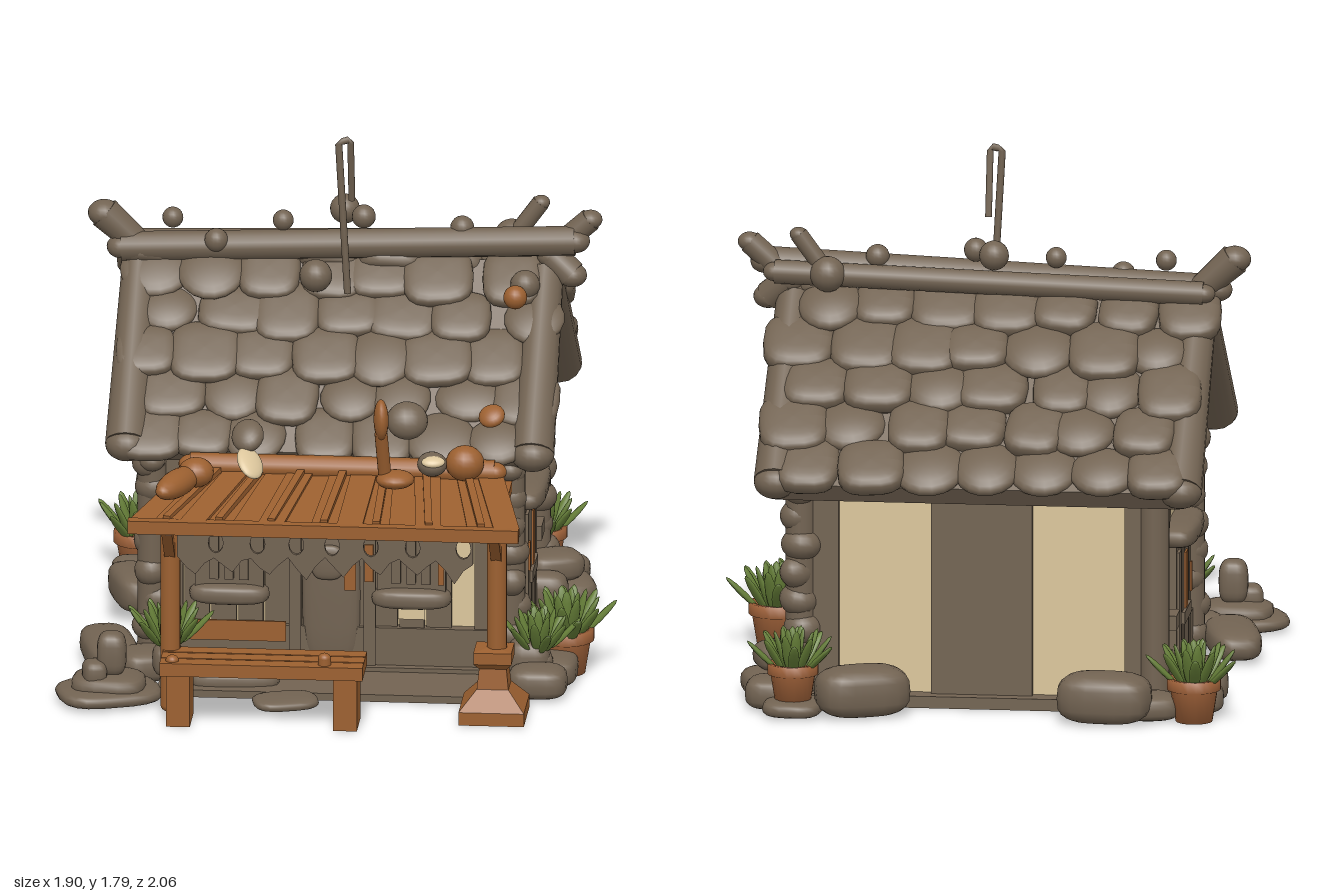
import * as THREE from 'three';

const mat = (name, color) => {
  const m = new THREE.MeshStandardMaterial({ color });
  m.name = name;
  return m;
};

let seed = 7;
const rnd = (a = 0, b = 1) => {
  seed = (seed * 16807) % 2147483647;
  return a + (b - a) * (seed / 2147483647);
};

const V = (a) => new THREE.Vector3(...a);

export function createModel() {
  const stone = mat('weathered stone', 0x726352);
  const wood = mat('orange wood', 0x9c6030);
  const clay = mat('clay', 0xa2633a);
  const plaster = mat('cream plaster', 0xdcc69c);
  const green = mat('leaf green', 0x667f38);

  const root = new THREE.Group();
  const house = new THREE.Group();
  house.name = 'house';
  house.position.set(0.07, 0, -0.19);
  house.rotation.y = -0.182;
  root.add(house);

  const add = (p, name, geo, m, pos = [0, 0, 0], rot = [0, 0, 0]) => {
    const o = new THREE.Mesh(geo, m);
    o.name = name;
    o.position.set(...pos);
    o.rotation.set(...rot);
    p.add(o);
    return o;
  };
  const box = (p, name, m, size, pos, rot) => add(p, name, new THREE.BoxGeometry(...size), m, pos, rot);

  // Rounded boulder: a sphere pushed towards a box
  const pebble = new THREE.SphereGeometry(1, 18, 12);
  const pa = pebble.attributes.position;
  const sq = (v) => Math.sign(v) * Math.pow(Math.abs(v), 0.65);
  for (let i = 0; i < pa.count; i++) pa.setXYZ(i, sq(pa.getX(i)), sq(pa.getY(i)), sq(pa.getZ(i)));
  pebble.computeVertexNormals();
  const ball = new THREE.SphereGeometry(1, 18, 12);
  const blob = (p, name, m, size, pos, rot, geo = pebble) => {
    const o = add(p, name, geo, m, pos, rot);
    o.scale.set(size[0] / 2, size[1] / 2, size[2] / 2);
    return o;
  };

  // Round log and squared beam between two points
  const log = (p, name, m, a, b, r0, r1 = r0) => {
    const d = V(b).sub(V(a));
    const o = add(p, name, new THREE.CylinderGeometry(r1, r0, d.length(), 14), m);
    o.position.copy(V(a)).addScaledVector(d, 0.5);
    o.quaternion.setFromUnitVectors(new THREE.Vector3(0, 1, 0), d.normalize());
    blob(p, name + 'End', m, [r0 * 2, r0 * 1.6, r0 * 2], a, [0, 0, 0], ball);
    blob(p, name + 'Tip', m, [r1 * 2, r1 * 1.6, r1 * 2], b, [0, 0, 0], ball);
    return o;
  };
  const beam = (p, name, m, a, b, w, h) => {
    const d = V(b).sub(V(a));
    const o = box(p, name, m, [w, h, d.length()], [0, 0, 0]);
    o.position.copy(V(a)).addScaledVector(d, 0.5);
    o.quaternion.setFromRotationMatrix(new THREE.Matrix4().lookAt(V(b), V(a), new THREE.Vector3(0, 1, 0)));
    return o;
  };

  // Extrude a (z, y) profile along local x, centred
  const prism = (p, name, m, pts, len) => {
    const g = new THREE.ExtrudeGeometry(new THREE.Shape(pts.map(([z, y]) => new THREE.Vector2(-z, y))), { depth: len, bevelEnabled: false });
    g.translate(0, 0, -len / 2).rotateY(Math.PI / 2);
    return add(p, name, g, m);
  };

  // Floor and plastered walls
  box(house, 'floor', stone, [1.3, 0.04, 1.0], [0, 0.02, 0]);
  box(house, 'porchFloor', stone, [1.12, 0.025, 0.3], [0, 0.013, 0.6]);
  prism(house, 'walls', plaster, [[0.43, 0], [0.43, 0.8], [0, 1.22], [-0.43, 0.8], [-0.43, 0]], 1.18);

  // Front planks, door and windows
  for (let i = 0; i < 11; i++)
    box(house, 'frontPlank', stone, [0.083, 0.74, 0.03], [-0.54 + i * 0.09, 0.4, 0.435 + (i % 2) * 0.008]);
  box(house, 'frontTopBoard', stone, [1.18, 0.2, 0.04], [0, 0.7, 0.445]);
  box(house, 'frontSidePost', stone, [0.1, 0.74, 0.04], [0.53, 0.4, 0.44]);
  box(house, 'frontSkirt', stone, [1.18, 0.17, 0.05], [0, 0.085, 0.445]);
  for (const x of [-0.12, 0.13]) box(house, 'doorJamb', stone, [0.04, 0.58, 0.06], [x, 0.29, 0.45]);
  blob(house, 'frontDoor', stone, [0.2, 0.54, 0.08], [0, 0.28, 0.445]);
  blob(house, 'doorHatch', stone, [0.11, 0.12, 0.04], [-0.01, 0.4, 0.485]);
  box(house, 'frontDoorPanel', wood, [0.04, 0.17, 0.008], [0.065, 0.39, 0.486]);
  box(house, 'doorSidePanel', wood, [0.03, 0.13, 0.008], [0.128, 0.4, 0.483]);
  box(house, 'wallPatch', wood, [0.36, 0.07, 0.008], [-0.33, 0.15, 0.474]);
  box(house, 'plasterPatch', plaster, [0.09, 0.055, 0.008], [0.27, 0.23, 0.467]);
  for (const x of [-0.43, -0.29, 0.41]) box(house, 'upperPlasterPatch', plaster, [0.08, 0.12, 0.008], [x, 0.64, 0.469]);
  for (const x of [-0.34, 0.27]) {
    box(house, 'windowShutter', stone, [0.23, 0.24, 0.06], [x, 0.41, 0.45]);
    for (const y of [0.28, 0.52]) blob(house, 'windowSill', stone, [0.27, 0.07, 0.11], [x, y, 0.47]);
    for (let k = -1; k < 2; k++) box(house, 'windowBar', stone, [0.03, 0.15, 0.02], [x + k * 0.05, 0.41, 0.49]);
  }
  box(house, 'shutterTrim', wood, [0.02, 0.16, 0.008], [0.37, 0.41, 0.484]);

  // Both gable ends
  for (const s of [-1, 1]) {
    const x = s * 0.6;
    box(house, 'gableDoor', stone, [0.05, 0.5, 0.36], [x, 0.27, -0.01]);
    for (let k = 0; k < 5; k++) box(house, 'gableDoorPlank', stone, [0.02, 0.46, 0.06], [x + s * 0.025, 0.25, -0.15 + k * 0.07]);
    box(house, 'gableDoorPanel', wood, [0.008, 0.2, 0.06], [x + s * 0.037, 0.35, -0.01]);
    box(house, 'gableDoorTrim', wood, [0.008, 0.1, 0.02], [x + s * 0.037, 0.33, 0.14]);
    box(house, 'gableDoorPatch', wood, [0.008, 0.03, 0.08], [x + s * 0.037, 0.05, -0.1]);
    box(house, 'gableDoorStep', stone, [0.03, 0.04, 0.2], [x + s * 0.03, 0.24, -0.01]);
    blob(house, 'doorLintel', stone, [0.14, 0.085, 0.42], [x + s * 0.02, 0.53, -0.01]);
    log(house, 'tieBeam', stone, [x, 0.74, -0.46], [x, 0.74, 0.48], 0.045);
    box(house, 'kingPost', wood, [0.05, 0.3, 0.07], [x, 0.93, -0.01]);
    box(house, 'kingPostTrim', stone, [0.06, 0.42, 0.035], [x, 0.96, 0.045]);
    blob(house, 'gablePeak', stone, [0.06, 0.12, 0.18], [x, 1.15, 0]);
    for (const t of [-1, 1]) {
      box(house, 'gableRail', stone, [0.05, 0.045, 0.1], [x, 0.89, t * 0.13]);
      beam(house, 'gableBrace', stone, [x, 0.76, t * 0.33], [x, 1.16, t * 0.04], 0.06, 0.05);
      beam(house, 'wallBrace', stone, [x, 0.58, t * 0.4], [x, 0.72, t * 0.28], 0.04, 0.05);
      box(house, 'gableFooting', stone, [0.03, 0.16, 0.2], [x, 0.08, t * 0.32]);
    }
    box(house, 'wallPlaque', stone, [0.05, 0.05, 0.11], [x + s * 0.02, 0.28, -0.31]);
  }

  // Back wall boards
  box(house, 'backPlank', stone, [0.34, 0.78, 0.03], [0, 0.4, -0.44]);
  box(house, 'backTopBeam', stone, [1.18, 0.1, 0.05], [0, 0.76, -0.44]);
  for (const x of [-0.53, 0.53]) box(house, 'backSidePost', stone, [0.1, 0.78, 0.04], [x, 0.4, -0.44]);

  // Corner posts, three of them stacked from stones
  for (const [x, z, stacked] of [[0.6, 0.45, 1], [-0.6, 0.45, 1], [0.61, -0.44, 1], [-0.58, -0.44, 0]]) {
    log(house, 'cornerPost', stone, [x, 0.06, z], [x, 0.78, z], 0.05);
    if (stacked) for (let i = 0; i < 8; i++)
      blob(house, 'cornerStone', stone, [rnd(0.1, 0.14), 0.11, rnd(0.1, 0.14)], [x + rnd(-0.015, 0.015), 0.065 + i * 0.095, z + rnd(-0.015, 0.015)],
        [rnd(-0.2, 0.2), rnd(0, 3), rnd(-0.2, 0.2)], ball);
  }

  // Roof slab with staggered rounded shingles
  prism(house, 'roofSlab', stone, [[0, 1.32], [-0.62, 0.78], [-0.58, 0.72], [0, 1.23], [0.5, 0.75], [0.54, 0.8]], 1.36);
  for (const [s, W, drop, rows, thick] of [[1, 0.55, 0.54, 5, 0.065], [-1, 0.62, 0.55, 5, 0.085]]) {
    const a = Math.atan2(drop, W), step = Math.hypot(W, drop) / rows;
    for (let r = 0; r < rows; r++) {
      const t = (r + 0.5) / rows;
      for (let c = 0; c < 7; c++) {
        const x = -0.59 + c * 0.196 + (r % 2 ? 0.04 : -0.04) + rnd(-0.03, 0.03);
        blob(house, 'shingle', stone, [rnd(0.2, 0.25), thick, step * rnd(1.2, 1.6)],
          [x, 1.33 - drop * t, s * W * t + rnd(-0.015, 0.015)], [s * (a - 0.16), rnd(-0.12, 0.12), 0], rnd() < 0.25 ? ball : pebble);
      }
    }
  }

  // Gable logs and ridge
  for (const x of [-0.68, 0.68]) {
    log(house, 'gableLog', stone, [x, 1.28, 0], [x, 0.81, 0.52], 0.06, 0.073);
    log(house, 'gableLog', stone, [x, 1.28, 0], [x, 0.78, -0.57], 0.06, 0.073);
  }
  log(house, 'ridgeLog', stone, [-0.74, 1.34, 0.02], [0.78, 1.4, 0.02], 0.05);
  log(house, 'ridgeLog', stone, [-0.7, 1.34, -0.05], [0.74, 1.38, -0.05], 0.04);
  log(house, 'ridgeHorn', stone, [-0.68, 1.34, 0], [-0.8, 1.45, 0], 0.045, 0.055);
  log(house, 'ridgeHorn', stone, [0.58, 1.4, -0.05], [0.66, 1.51, -0.05], 0.03);
  log(house, 'ridgeHorn', stone, [0.74, 1.39, 0], [0.83, 1.47, 0], 0.04);
  log(house, 'ridgeHorn', stone, [0.7, 1.34, 0], [0.77, 1.28, 0.02], 0.05);
  for (const [x, y, z, r] of [[-0.57, 1.44, 0, 0.035], [-0.42, 1.38, 0.05, 0.04], [-0.2, 1.44, 0, 0.035], [0, 1.46, -0.08, 0.05],
    [0.07, 1.46, 0, 0.04], [0.4, 1.43, 0, 0.04], [0.56, 1.38, -0.07, 0.06], [-0.08, 1.29, 0.13, 0.055], [0.62, 1.27, 0.11, 0.05]])
    blob(house, 'ridgeStone', stone, [r * 2, r * 2, r * 2], [x, y, z], [0, 0, 0], ball);
  blob(root, 'roofKnob', wood, [0.08, 0.08, 0.08], [0.62, 1.25, 0.1], [0, 0, 0], ball);

  // Bent wire on the roof
  const wire = new THREE.CurvePath();
  const wp = [[0.07, 1.24, -0.03], [0.04, 1.77, -0.03], [0.08, 1.78, -0.03], [0.09, 1.55, -0.085]].map(V);
  for (let i = 0; i < 3; i++) wire.add(new THREE.LineCurve3(wp[i], wp[i + 1]));
  add(root, 'roofWire', new THREE.TubeGeometry(wire, 40, 0.012, 8), stone);

  // Porch awning: tapering planks, ribs, beams
  for (let i = 0; i < 15; i++) {
    const t = i / 14, lift = (i % 3) * 0.004, b = [-0.43 + t * 0.97, 0.745 + lift, 0.58], f = [-0.59 + t * 1.23, 0.703 + lift, 1.07];
    beam(house, 'awningPlank', wood, b, f, 0.086, 0.022);
    if (i % 2) beam(house, 'awningRib', wood, [b[0], 0.765, 0.62], [f[0], 0.722, 1.05], 0.025, 0.02);
  }
  beam(house, 'awningFrontBeam', wood, [-0.63, 0.7, 1.07], [0.68, 0.7, 1.07], 0.04, 0.045);
  log(house, 'awningBackLog', wood, [-0.46, 0.77, 0.6], [0.56, 0.77, 0.6], 0.04);
  beam(house, 'awningBearer', wood, [-0.52, 0.68, 0.9], [0.61, 0.68, 0.9], 0.05, 0.04);

  // Awning posts and braces
  for (const [x, z] of [[-0.5, 0.92], [0.59, 0.87]]) {
    log(house, 'porchPost', wood, [x, 0.03, z], [x, 0.68, z], 0.034);
    beam(house, 'awningSideBeam', wood, [x, 0.69, 0.5], [x, 0.68, 1.04], 0.04, 0.035);
    beam(house, 'awningBrace', wood, [x, 0.53, z], [x, 0.68, z - 0.16], 0.035, 0.035);
    beam(house, 'awningBrace', wood, [x, 0.55, z], [x, 0.68, z + 0.13], 0.035, 0.035);
    beam(house, 'wallStrut', wood, [x, 0.55, 0.48], [x, 0.69, 0.68], 0.035, 0.035);
  }
  const base = [[0, 0], [0.155, 0], [0.155, 0.045], [0.075, 0.11], [0.065, 0.18], [0.09, 0.2], [0.09, 0.24], [0, 0.25]];
  const baseGeo = new THREE.LatheGeometry(base.map(([r, y]) => new THREE.Vector2(r, y)), 4).rotateY(Math.PI / 4).toNonIndexed();
  baseGeo.computeVertexNormals();
  add(house, 'postBase', baseGeo, wood, [0.58, 0, 0.87]);

  // Ragged cloth hanging under the awning, with oval gaps
  const cloth = new THREE.Shape();
  cloth.moveTo(-0.47, 0.68);
  for (let i = 0; i <= 32; i++) cloth.lineTo(-0.47 + i * 0.031, [0.59, 0.55, 0.52, 0.56][i % 4] + rnd(-0.015, 0.015));
  cloth.lineTo(0.522, 0.68);
  for (const x of [-0.34, -0.2, -0.07, 0.05, 0.18, 0.32, 0.49]) cloth.holes.push(new THREE.Path().absellipse(x, 0.63, 0.025, 0.035, 0, Math.PI * 2, true));
  add(house, 'hangingCloth', new THREE.ExtrudeGeometry(cloth, { depth: 0.015, bevelEnabled: false, curveSegments: 6 }), stone, [0, 0, 1.0]);

  // Bench
  const bench = new THREE.Group();
  bench.name = 'bench';
  bench.position.set(-0.29, 0, 0.76);
  bench.rotation.y = -0.18;
  root.add(bench);
  for (const z of [-0.065, 0, 0.065]) box(bench, 'benchSlat', wood, [0.68, 0.045, 0.058], [0, 0.205, z]);
  for (const x of [-0.28, 0.28]) box(bench, 'benchLeg', wood, [0.08, 0.19, 0.15], [x, 0.095, 0]);
  log(bench, 'benchPeg', wood, [0.21, 0.2, 0.06], [0.21, 0.25, 0.06], 0.022);
  log(bench, 'benchPeg', wood, [-0.3, 0.2, 0.06], [-0.3, 0.23, 0.06], 0.022);

  // Objects lying on the awning
  blob(root, 'awningRoll', wood, [0.1, 0.09, 0.27], [-0.56, 0.79, 0.58], [0, -0.55, 0], ball);
  blob(root, 'awningBun', wood, [0.12, 0.1, 0.12], [-0.49, 0.8, 0.5], [0, 0, 0], ball);
  blob(root, 'awningPlate', plaster, [0.1, 0.04, 0.14], [-0.31, 0.83, 0.51], [0.5, 0, -0.5], ball);
  blob(root, 'awningPlate', plaster, [0.08, 0.03, 0.05], [0.3, 0.83, 0.56], [0.4, 0, 0], ball);
  blob(root, 'awningStone', stone, [0.14, 0.13, 0.1], [0.23, 0.92, 0.38], [-0.6, 0, 0], ball);
  blob(root, 'awningStone', stone, [0.1, 0.08, 0.12], [0.3, 0.81, 0.52], [0, 0, 0], ball);
  blob(root, 'awningStone', stone, [0.11, 0.07, 0.13], [-0.31, 0.9, 0.43], [0.6, 0, 0.3], ball);
  blob(root, 'awningJug', wood, [0.13, 0.12, 0.12], [0.41, 0.81, 0.52], [0, 0, 0], ball);
  blob(root, 'roofPebble', wood, [0.09, 0.05, 0.09], [0.51, 0.94, 0.42], [0.6, 0, 0.3], ball);
  log(root, 'paddleHandle', wood, [0.14, 0.76, 0.56], [0.12, 0.95, 0.61], 0.022);
  blob(root, 'paddleDisc', wood, [0.05, 0.14, 0.1], [0.12, 1.0, 0.61], [0, 0, 0], ball);
  blob(root, 'paddleFoot', wood, [0.13, 0.06, 0.12], [0.17, 0.78, 0.58], [0, 0, 0], ball);

  // Boulders around the house: width, height, depth, x, z, lift
  for (const [w, h, d, x, z, y = 0] of [
    [0.35, 0.06, 0.27, -0.78, 0.47], [0.25, 0.08, 0.2, -0.78, 0.47, 0.02], [0.1, 0.15, 0.1, -0.77, 0.47, 0.09], [0.08, 0.09, 0.1, -0.83, 0.49, 0.06],
    [0.2, 0.11, 0.16, 0.65, 0.57], [0.15, 0.17, 0.14, 0.63, 0.46], [0.16, 0.1, 0.2, 0.72, 0.42], [0.22, 0.04, 0.16, -0.2, 0.6], [0.3, 0.07, 0.1, -0.35, 0.4],
    [0.18, 0.11, 0.4, -0.74, 0.1], [0.14, 0.13, 0.3, -0.6, -0.55], [0.32, 0.17, 0.2, -0.24, -0.9], [0.18, 0.09, 0.18, -0.4, -0.86],
    [0.32, 0.17, 0.2, 0.56, -0.74], [0.24, 0.1, 0.26, 0.82, -0.44], [0.2, 0.1, 0.16, 0.8, -0.42, 0.09], [0.18, 0.11, 0.18, 0.85, -0.6], [0.16, 0.15, 0.12, 0.76, -0.31],
    [0.2, 0.06, 0.2, 0.79, -0.72], [0.18, 0.11, 0.18, -0.64, 0.25], [0.14, 0.1, 0.14, -0.58, -0.76]])
    blob(root, 'boulder', stone, [w, h, d], [x, y + h / 2, z], [0, rnd(-0.25, 0.25), 0]);

  // Spiky plants, most of them in clay pots
  const leaf = new THREE.SphereGeometry(1, 8, 6).scale(0.021, 0.085, 0.011).translate(0, 0.075, 0);
  const profile = [[0, 0], [0.065, 0], [0.083, 0.11], [0.095, 0.115], [0.095, 0.155], [0.078, 0.155], [0.075, 0.135], [0, 0.135]];
  for (const [x, z, y, potted, k] of [[0.77, 0.31, 0, 1, 1], [-0.54, -0.9, 0, 1, 0.95], [0.79, -0.72, 0.04, 1, 0.9], [0.66, 0.47, 0.03, 0, 0.85], [-0.57, 0.37, 0.05, 0, 0.9]]) {
    const plant = new THREE.Group();
    plant.name = 'plant';
    plant.position.set(x, y, z);
    plant.scale.setScalar(k);
    root.add(plant);
    if (potted) add(plant, 'pot', new THREE.LatheGeometry(profile.map(([r, h]) => new THREE.Vector2(r, h)), 20), clay);
    else blob(plant, 'plantBed', stone, [0.12, 0.12, 0.12], [0, 0.06, 0]);
    for (let i = 0; i < 22; i++) {
      const ang = i * 2.4, r = 0.01 + 0.0026 * i;
      const o = add(plant, 'leaf', leaf, green, [Math.sin(ang) * r, 0.13, Math.cos(ang) * r]);
      o.rotation.set(0.08 + i * 0.037, ang, 0, 'YXZ');
    }
  }
  return root;
}
